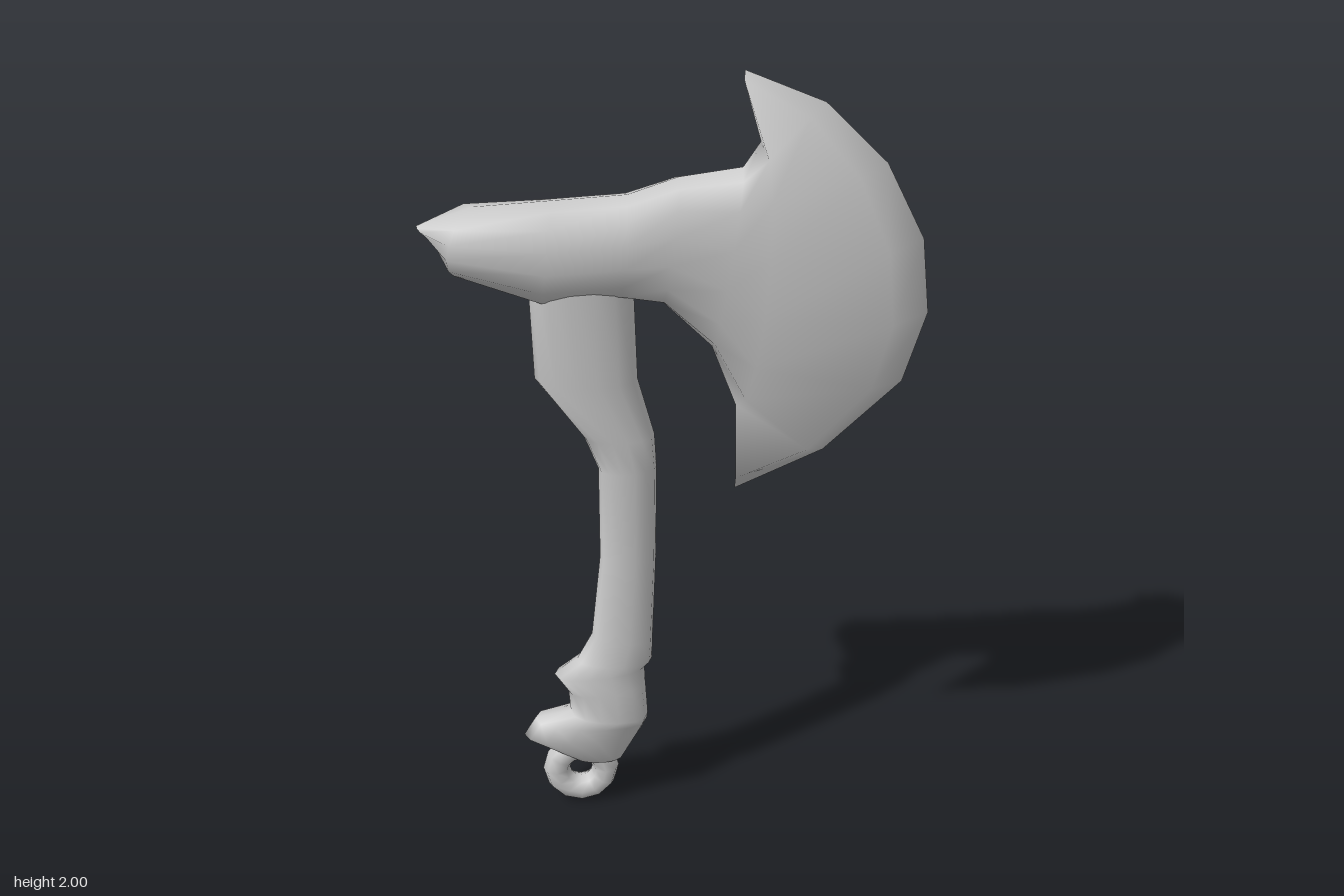
import * as THREE from 'three';

const N = 8; // points down each side of a cross-section

// Half outline from point p to point q, with a sideways bow in x
function span(p, q, bow = 0) {
  return Array.from({ length: N }, (_, i) => {
    const a = (i / (N - 1)) * Math.PI, v = (1 - Math.cos(a)) / 2;
    return [p[0] + (q[0] - p[0]) * v + bow * Math.sin(a), p[1] + (q[1] - p[1]) * v];
  });
}

// Skin over mirrored cross-sections: { pts, t } with t the half thickness in z
function loft(name, sections, material) {
  const ring = 2 * N - 2, pos = [], idx = [];
  for (const { pts, t } of sections) {
    for (let k = 0; k < ring; k++) {
      const i = k < N ? k : ring - k;
      const s = Math.max(0, Math.sin((i / (N - 1)) * Math.PI));
      const z = i === 0 || i === N - 1 ? 0 : t * Math.pow(s, 0.8) * (k < N ? 1 : -1);
      pos.push(pts[i][0], pts[i][1], z);
    }
  }
  for (let s = 0; s < sections.length - 1; s++) {
    for (let k = 0; k < ring; k++) {
      const a = s * ring + k, b = s * ring + ((k + 1) % ring);
      idx.push(a, b, a + ring, b, b + ring, a + ring);
    }
  }
  const g = new THREE.BufferGeometry();
  g.setAttribute('position', new THREE.Float32BufferAttribute(pos, 3));
  g.setIndex(idx);
  g.computeVertexNormals();
  const mesh = new THREE.Mesh(g, material);
  mesh.name = name;
  return mesh;
}

const section = (p, q, t, bow) => ({ pts: span(p, q, bow), t });

export function createModel() {
  const model = new THREE.Group();
  model.name = 'axe';
  const mat = new THREE.MeshStandardMaterial({ color: 0xcccccc, side: THREE.DoubleSide });

  // Axe head: blunt poll, thick neck, flared blade, bevel to the cutting edge
  const edge = [[0.15, 2], [0.34, 1.92], [0.49, 1.77], [0.585, 1.58],
    [0.605, 1.39], [0.55, 1.21], [0.36, 1.03], [0.14, 0.93]];
  const bevel = edge.map(([x, y]) => [0.15 + (x - 0.15) * 0.78, 1.47 + (y - 1.47) * 0.95]);
  model.add(loft('axeHead', [
    section([-0.605, 1.65], [-0.55, 1.6], 0, -0.02),
    section([-0.48, 1.69], [-0.51, 1.53], 0.09, -0.045),
    section([-0.3, 1.7], [-0.33, 1.45], 0.092),
    section([-0.12, 1.71], [-0.14, 1.46], 0.092),
    section([0, 1.75], [-0.04, 1.44], 0.09),
    section([0.15, 1.77], [0.08, 1.32], 0.087),
    section([0.19, 1.83], [0.14, 1.16], 0.087, 0.04),
    { pts: bevel, t: 0.087 },
    { pts: edge, t: 0 },
  ], mat));

  // Handle: curved grip with a hooked pommel, from top to bottom
  model.add(loft('handle', [
    section([-0.11, 1.56], [-0.36, 1.56], 0.065),
    section([-0.1, 1.24], [-0.35, 1.25], 0.062),
    section([-0.06, 1.09], [-0.235, 1.09], 0.055),
    section([-0.055, 1.0], [-0.2, 1.0], 0.052),
    section([-0.058, 0.75], [-0.2, 0.75], 0.05),
    section([-0.068, 0.5], [-0.225, 0.52], 0.05),
    section([-0.07, 0.44], [-0.265, 0.445], 0.052),
    section([-0.09, 0.42], [-0.325, 0.4], 0.055),
    section([-0.088, 0.37], [-0.29, 0.35], 0.06),
    section([-0.082, 0.27], [-0.285, 0.285], 0.064),
    section([-0.085, 0.25], [-0.38, 0.265], 0.063),
    section([-0.1, 0.22], [-0.41, 0.215], 0.06),
    section([-0.15, 0.14], [-0.285, 0.145], 0.045),
    section([-0.15, 0.14], [-0.285, 0.145], 0),
  ], mat));

  // Hanging ring under the pommel
  const ring = new THREE.Mesh(new THREE.TorusGeometry(0.065, 0.036, 8, 12), mat);
  ring.name = 'hangingRing';
  ring.position.set(-0.262, 0.105, 0);
  model.add(ring);

  return model;
}
